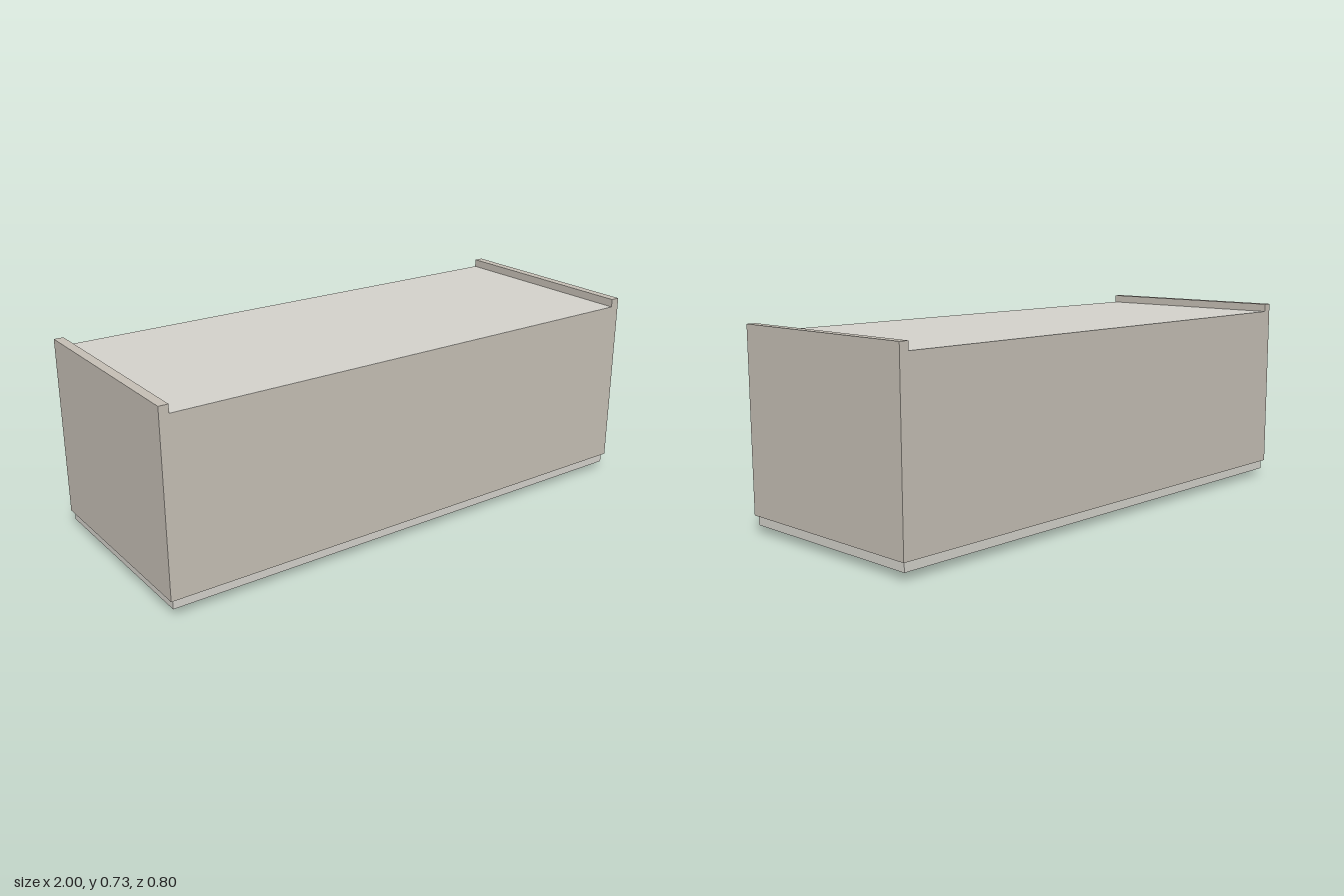
import * as THREE from 'three';

const carcassMat = new THREE.MeshStandardMaterial({ color: 0xc4beb4 });
const panelMat = new THREE.MeshStandardMaterial({ color: 0xd3d1ca });
const handleMat = new THREE.MeshStandardMaterial({ color: 0x808388 });

// Box given by its lower and upper corners
function box(name, material, [x0, y0, z0], [x1, y1, z1]) {
  const mesh = new THREE.Mesh(new THREE.BoxGeometry(x1 - x0, y1 - y0, z1 - z0), material);
  mesh.name = name;
  mesh.position.set((x0 + x1) / 2, (y0 + y1) / 2, (z0 + z1) / 2);
  return mesh;
}

export function createModel() {
  const group = new THREE.Group();
  group.name = 'cabinet';

  const bottom = 0.063, deck = 0.7, rim = 0.73;
  const half = 1, inner = 0.965, depth = 0.4;

  // Carcass: one profile with the side panels rising above the top, run front to back
  const profile = new THREE.Shape([
    [-half, bottom], [half, bottom], [half, rim], [inner, rim],
    [inner, deck - 0.001], [-inner, deck - 0.001], [-inner, rim], [-half, rim],
  ].map(([x, y]) => new THREE.Vector2(x, y)));
  const carcassGeo = new THREE.ExtrudeGeometry(profile, { depth: 2 * depth, bevelEnabled: false });
  carcassGeo.translate(0, 0, -depth);
  const carcass = new THREE.Mesh(carcassGeo, carcassMat);
  carcass.name = 'carcass';
  group.add(carcass);

  // Lighter top surface between the raised sides
  group.add(box('topPanel', panelMat, [-inner, deck - 0.001, -depth], [inner, deck, depth]));

  // Door panel, slightly inset all round, and its bar handle
  group.add(box('door', panelMat, [-0.99, 0.028, -0.39], [0.99, bottom, 0.39]));
  group.add(box('handle', handleMat, [-0.105, 0, 0.214], [0.105, 0.028, 0.24]));

  return group;
}
